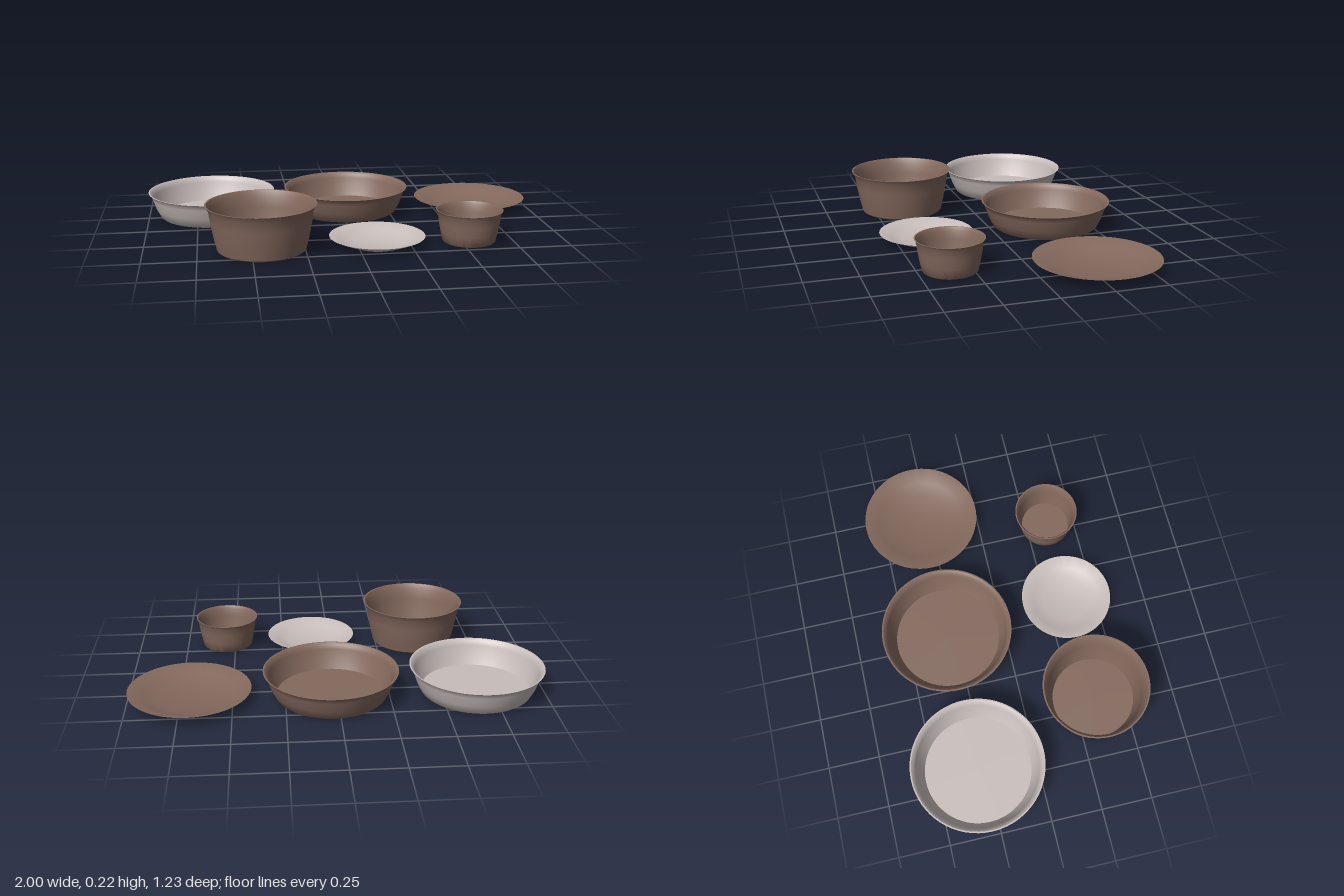
import * as THREE from 'three';
import { toCreasedNormals } from 'three/addons/utils/BufferGeometryUtils.js';

const SEGMENTS = 64;

const paleClay = new THREE.MeshStandardMaterial({ color: 0xc8bebb });
paleClay.name = 'paleClay';
const brownClay = new THREE.MeshStandardMaterial({ color: 0x84695d });
brownClay.name = 'brownClay';

// Outer wall profiles [radius, height], from the foot up to the rim
const basinProfile = [[0.258, 0], [0.268, 0.008], [0.289, 0.05], [0.306, 0.1], [0.312, 0.119], [0.325, 0.13]];
const bowlProfile = [[0.2, 0], [0.209, 0.007], [0.222, 0.06], [0.237, 0.14], [0.245, 0.195], [0.26, 0.22]];
const cupProfile = [[0.122, 0], [0.128, 0.006], [0.137, 0.05], [0.146, 0.1], [0.151, 0.14], [0.16, 0.155]];
const platterProfile = [[0.155, 0], [0.225, 0.024], [0.295, 0.05]];
const saucerProfile = [[0.122, 0], [0.175, 0.021], [0.228, 0.045]];

function lathe(points) {
  const profile = points.map(([r, y]) => new THREE.Vector2(r, y));
  return toCreasedNormals(new THREE.LatheGeometry(profile, SEGMENTS), 0.6);
}

// A thin turned shell: outside wall, rim, inside wall and floor, closed by a base disc
function makeDish({ name, profile, x, z, wall, floor, clay, base }) {
  const dish = new THREE.Group();
  dish.name = name;
  const inner = profile.map(([r, y], i) => [r - wall, i === profile.length - 1 ? y : Math.max(y, floor)]);
  const body = new THREE.Mesh(lathe([...profile, ...inner.reverse(), [0, floor]]), clay);
  body.name = name + 'Body';
  const foot = new THREE.Mesh(lathe([[0, 0], profile[0]]), base);
  foot.name = name + 'Base';
  dish.add(body, foot);
  dish.position.set(x, 0, z);
  return dish;
}

export function createModel() {
  const model = new THREE.Group();
  model.name = 'dishSet';
  const dishes = [
    // Back row
    { name: 'paleBasin', profile: basinProfile, x: -0.675, z: -0.29, wall: 0.007, floor: 0.008, clay: paleClay, base: paleClay },
    { name: 'brownBasin', profile: basinProfile, x: 0.03, z: -0.29, wall: 0.007, floor: 0.008, clay: brownClay, base: paleClay },
    { name: 'brownPlatter', profile: platterProfile, x: 0.705, z: -0.29, wall: 0.004, floor: 0.004, clay: brownClay, base: brownClay },
    // Front row
    { name: 'deepBowl', profile: bowlProfile, x: -0.45, z: 0.35, wall: 0.007, floor: 0.008, clay: brownClay, base: paleClay },
    { name: 'paleSaucer', profile: saucerProfile, x: 0.095, z: 0.35, wall: 0.004, floor: 0.004, clay: paleClay, base: paleClay },
    { name: 'smallCup', profile: cupProfile, x: 0.54, z: 0.35, wall: 0.006, floor: 0.007, clay: brownClay, base: brownClay },
  ];
  for (const dish of dishes) model.add(makeDish(dish));
  return model;
}
